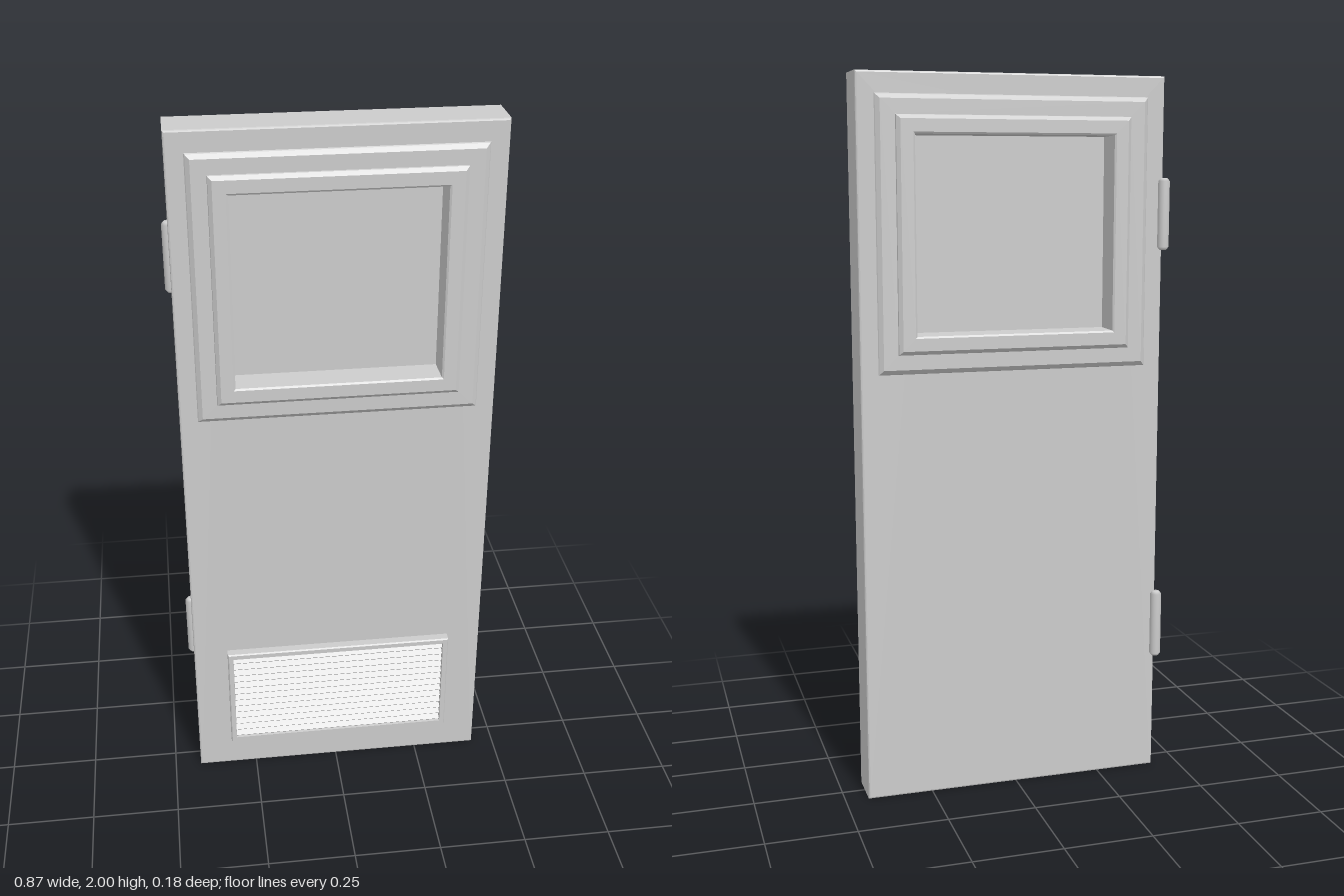
import * as THREE from 'three';

const flat = new THREE.MeshStandardMaterial({ color: 0xcccccc, flatShading: true });
const smooth = new THREE.MeshStandardMaterial({ color: 0xcccccc });

function rect(path, hw, hh, cy) {
  path.moveTo(-hw, cy - hh);
  path.lineTo(hw, cy - hh);
  path.lineTo(hw, cy + hh);
  path.lineTo(-hw, cy + hh);
  path.closePath();
  return path;
}

// Rectangular frame swept from a profile of [inset, z] points, outside to inside.
function sweptFrame(hw, hh, profile) {
  const pos = [];
  const corners = [[-1, -1], [1, -1], [1, 1], [-1, 1]];
  const at = ([inset, z], [sx, sy]) => [sx * (hw - inset), sy * (hh - inset), z];
  for (let i = 0; i < profile.length - 1; i++) {
    for (let k = 0; k < 4; k++) {
      const c = corners[k], d = corners[(k + 1) % 4];
      const a = at(profile[i], c), b = at(profile[i], d);
      const e = at(profile[i + 1], d), f = at(profile[i + 1], c);
      pos.push(...a, ...b, ...e, ...a, ...e, ...f);
    }
  }
  const g = new THREE.BufferGeometry();
  g.setAttribute('position', new THREE.Float32BufferAttribute(pos, 3));
  g.computeVertexNormals();
  return g;
}

export function createModel() {
  const model = new THREE.Group();
  model.name = 'door';
  const door = new THREE.Group();
  door.name = 'doorLeaf';
  door.position.set(0.006, 0, -0.0025);
  model.add(door);

  const add = (parent, name, geometry, material = flat, x = 0, y = 0, z = 0) => {
    const mesh = new THREE.Mesh(geometry, material);
    mesh.name = name;
    mesh.position.set(x, y, z);
    parent.add(mesh);
    return mesh;
  };

  // Slab with softened edges and a window opening
  const bevel = 0.005, half = 0.0625, windowY = 1.575;
  const outline = rect(new THREE.Shape(), 0.429 - bevel, 1 - bevel, 1);
  outline.holes.push(rect(new THREE.Path(), 0.3, 0.29, windowY));
  const slab = new THREE.ExtrudeGeometry(outline, {
    depth: 2 * (half - bevel), bevelEnabled: true,
    bevelSize: bevel, bevelThickness: bevel, bevelSegments: 2,
  });
  add(door, 'slab', slab, flat, 0, 0, bevel - half);

  // Stepped window trim on both faces, running inward to the glass
  const trim = sweptFrame(0.382, 0.37, [
    [0, 0.06], [0.004, 0.0655], [0.015, 0.0745], [0.055, 0.0745], [0.056, 0.079],
    [0.066, 0.0875], [0.1, 0.0875], [0.105, 0.084], [0.107, 0.0],
  ]);
  for (const side of [1, -1]) {
    const name = side > 0 ? 'frontWindowTrim' : 'backWindowTrim';
    add(door, name, trim, flat, 0, windowY).rotation.y = side > 0 ? 0 : Math.PI;
  }
  add(door, 'windowPane', new THREE.BoxGeometry(0.57, 0.55, 0.012), flat, 0, windowY);

  // Louvred vent on the lower front
  const vent = new THREE.Group();
  vent.name = 'vent';
  vent.position.set(0, 0.269, 0);
  door.add(vent);
  add(vent, 'ventFrame', sweptFrame(0.331, 0.165, [
    [0, 0.06], [0, 0.086], [0.003, 0.09], [0.016, 0.09], [0.018, 0.0625],
  ]));
  const slats = 13, pitch = 0.298 / slats;
  const slat = new THREE.BoxGeometry(0.63, 0.005, 0.025);
  for (let i = 0; i < slats; i++) {
    const y = (i - (slats - 1) / 2) * pitch;
    add(vent, 'ventSlat', slat, flat, 0, y, 0.075).rotation.x = 0.7;
  }

  // Hinge barrels with chamfered ends on the back right edge
  const r = 0.016, h = 0.098;
  const barrel = new THREE.LatheGeometry([
    [0, -h], [r * 0.6, -h], [r, -h + 0.008], [r, h - 0.008], [r * 0.6, h], [0, h],
  ].map(([x, y]) => new THREE.Vector2(x, y)), 20);
  for (const y of [0.443, 1.628]) add(model, 'hinge', barrel, smooth, -0.423, y, -0.073);

  return model;
}
